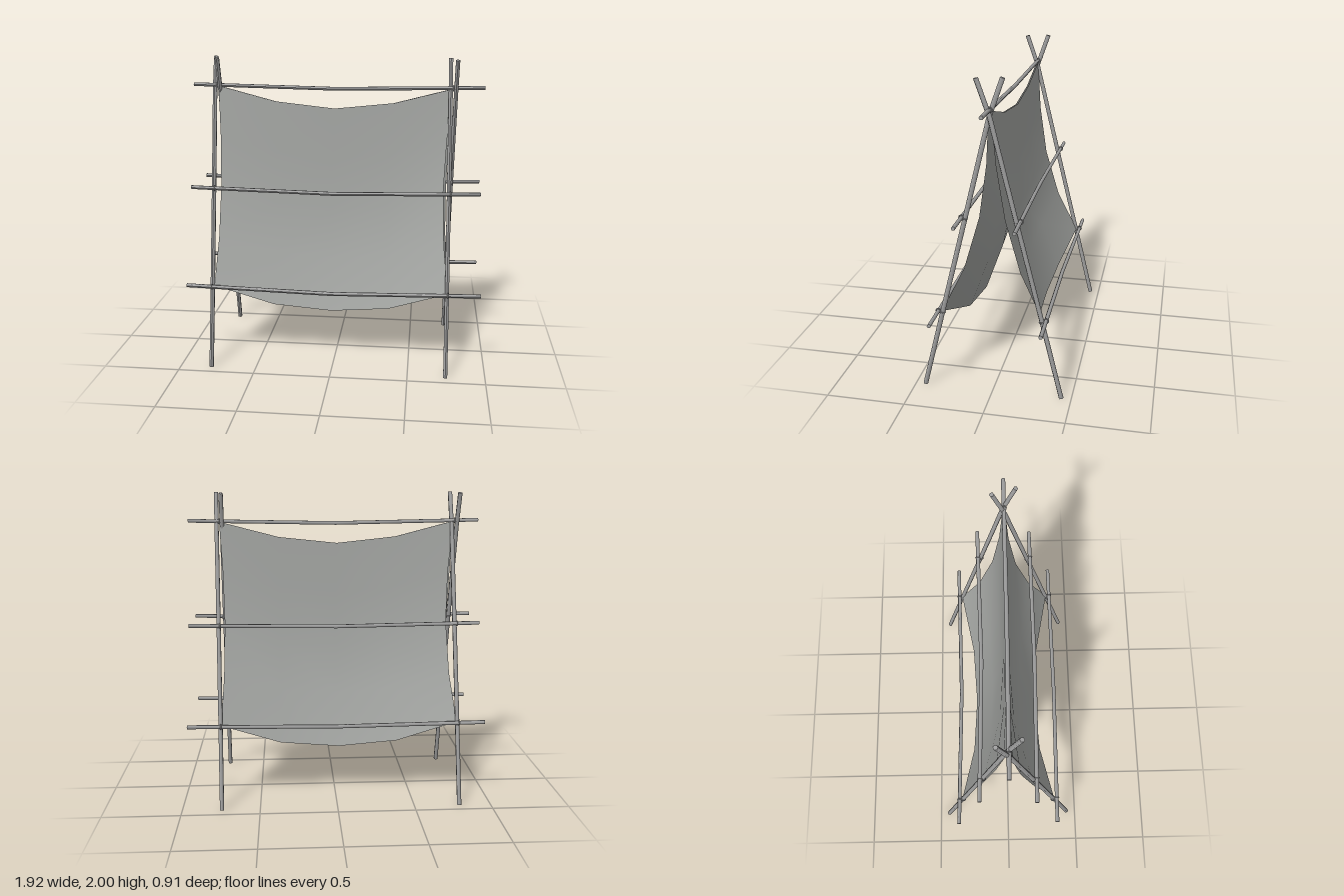
import * as THREE from 'three';

const woodGrey = new THREE.MeshStandardMaterial({ color: 0xa0a0a0 });
const clothGrey = new THREE.MeshStandardMaterial({ color: 0xa3a5a2, side: THREE.DoubleSide });
const UP = new THREE.Vector3(0, 1, 0);
const vec = (p) => new THREE.Vector3(...p);

// Slightly bent round stick: one cylinder ring per path point
function stick(name, path, radius) {
  const pts = path.map(vec);
  const n = pts.length - 1;
  const geo = new THREE.CylinderGeometry(radius, radius, 1, 6, n);
  const dir = pts[n].clone().sub(pts[0]).normalize();
  const turn = new THREE.Quaternion().setFromUnitVectors(UP, dir);
  const pos = geo.attributes.position;
  const p = new THREE.Vector3();
  for (let i = 0; i < pos.count; i++) {
    p.fromBufferAttribute(pos, i);
    const ring = Math.round((p.y + 0.5) * n);
    p.setY(0).applyQuaternion(turn).add(pts[ring]);
    pos.setXYZ(i, p.x, p.y, p.z);
  }
  geo.computeVertexNormals();
  const mesh = new THREE.Mesh(geo, woodGrey);
  mesh.name = name;
  return mesh;
}

// Rope ring around a stick running along the given axis
function lashing(center, axis) {
  const mesh = new THREE.Mesh(new THREE.TorusGeometry(0.015, 0.004, 5, 10), woodGrey);
  mesh.position.set(...center);
  mesh.quaternion.setFromUnitVectors(new THREE.Vector3(0, 0, 1), vec(axis).normalize());
  mesh.name = 'lashing';
  return mesh;
}

// Hanging sheet: blends an edge profile into a sagging centre profile, given as [z, y]
const edge = [[0.005, 1.81], [0.03, 1.48], [0.08, 1.15], [0.175, 0.82], [0.315, 0.53]];
const middle = [[0.005, 1.67], [0.015, 1.34], [0.036, 1.0], [0.095, 0.68], [0.215, 0.345]];

function sheet(name, side, pinchLeft, pinchRight) {
  const geo = new THREE.PlaneGeometry(1, 1, 4, 4);
  const pos = geo.attributes.position;
  for (let row = 0; row < 5; row++) {
    const pinch = Math.sin((row / 4) * Math.PI);
    const x0 = -0.785 + pinchRight * pinch;
    const x1 = 0.745 - pinchLeft * pinch;
    const quarter = 0.71 + 0.02 * row;
    const sag = [0, quarter, 1, quarter, 0];
    for (let col = 0; col < 5; col++) {
      const z = THREE.MathUtils.lerp(edge[row][0], middle[row][0], sag[col]);
      const y = THREE.MathUtils.lerp(edge[row][1], middle[row][1], sag[col]);
      pos.setXYZ(row * 5 + col, THREE.MathUtils.lerp(x0, x1, col / 4), y, z * side);
    }
  }
  geo.computeVertexNormals();
  const mesh = new THREE.Mesh(geo, clothGrey);
  mesh.name = name;
  return mesh;
}

export function createModel() {
  const model = new THREE.Group();
  model.name = 'clothShelter';

  // Crossed poles at each end
  for (const [end, x] of [['right', -0.793], ['left', 0.745]]) {
    for (const [face, s] of [['Front', 1], ['Back', -1]]) {
      const lean = -0.02 * s;
      model.add(stick(`${end}${face}Pole`, [
        [x, 0.004, 0.438 * s],
        [x + lean * 0.2, 0.53, 0.31 * s],
        [x + lean * 0.5, 1.16, 0.155 * s],
        [x + lean * 0.85, 1.78, 0.004 * s],
        [x + lean, 1.996, -0.072 * s],
      ], 0.015));
    }
  }

  // Bowed cross rails: [name, right end x, left end x, height, z, z bow]
  const rails = [
    ['ridgeRail', -0.95, 0.945, 1.818, 0, 0.004],
    ['frontMiddleRail', -0.95, 0.935, 1.162, 0.175, 0.012],
    ['backMiddleRail', -0.94, 0.945, 1.162, -0.182, 0.02],
    ['frontLowerRail', -0.965, 0.955, 0.533, 0.335, 0.012],
    ['backLowerRail', -0.965, 0.96, 0.533, -0.34, 0.018],
  ];
  for (const [name, x0, x1, y, z, bow] of rails) {
    model.add(stick(name, [
      [x0, y, z],
      [-0.49, y - 0.009, z + bow * 0.5],
      [-0.01, y - 0.018, z + bow],
      [0.47, y - 0.009, z + bow * 0.5],
      [x1, y, z],
    ], 0.013));

    // Rope lashings where rail and poles meet
    const s = Math.sign(z);
    const poleZ = (0.44 - 0.243 * y) * s;
    for (const x of [-0.795, 0.745]) {
      model.add(lashing([x, y - 0.003, z + bow * 0.18], [1, 0, 0]));
      model.add(lashing([x - 0.006 * s, y - 0.01, poleZ], [0, 1, -0.243 * s]));
    }
  }

  // Cloth hanging down both sides of the ridge
  model.add(sheet('frontCloth', 1, 0.045, 0.012));
  model.add(sheet('backCloth', -1, 0.025, 0.045));
  return model;
}
